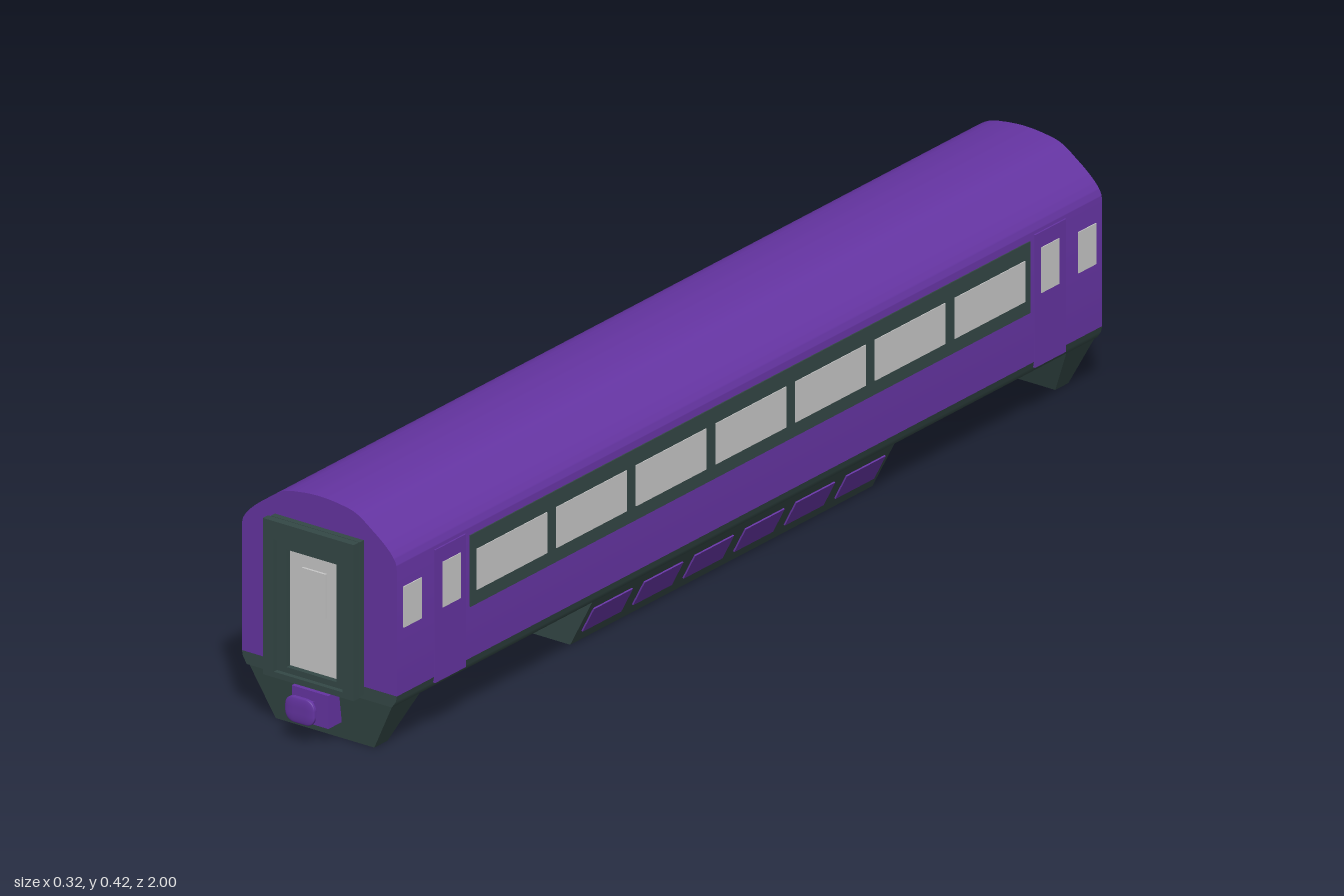
import * as THREE from 'three';
import { toCreasedNormals } from 'three/addons/utils/BufferGeometryUtils.js';
import { ConvexGeometry } from 'three/addons/geometries/ConvexGeometry.js';
import { RoundedBoxGeometry } from 'three/addons/geometries/RoundedBoxGeometry.js';

const mat = (name, color) => {
  const m = new THREE.MeshStandardMaterial({ color });
  m.name = name;
  return m;
};

export function createModel() {
  const purple = mat('purplePaint', 0x6534a2);
  const dark = mat('darkTrim', 0x344846);
  const glass = mat('paleGrey', 0xc8c8c8);
  const coach = new THREE.Group();
  coach.name = 'railCoach';

  const add = (parent, name, geo, material, x = 0, y = 0, z = 0) => {
    const m = new THREE.Mesh(geo, material);
    m.name = name;
    m.position.set(x, y, z);
    parent.add(m);
    return m;
  };
  const box = (parent, name, material, [w, h, d], [x, y, z]) =>
    add(parent, name, new THREE.BoxGeometry(w, h, d), material, x, y, z);
  // Prism along z, centred on z = 0
  const prism = (shape, length) => {
    const g = new THREE.ExtrudeGeometry(shape, { depth: length, bevelEnabled: false, curveSegments: 8 });
    return toCreasedNormals(g.translate(0, 0, -length / 2), 0.5);
  };
  const rect = (w, y0, y1, C = THREE.Shape) =>
    new C([[-w, y0], [w, y0], [w, y1], [-w, y1]].map(p => new THREE.Vector2(...p)));

  // Body shell with a curved roof
  const W = 0.157, L = 1.89;
  const half = [[0.155, 0.343], [0.147, 0.356], [0.132, 0.371], [0.11, 0.388], [0.075, 0.411], [0.04, 0.419]];
  const roof = [[W, 0.33], ...half, [0, 0.422], ...half.map(([x, y]) => [-x, y]).reverse(), [-W, 0.33]];
  const body = new THREE.Shape();
  body.moveTo(-W, 0.11);
  body.lineTo(W, 0.11);
  body.lineTo(W, 0.33);
  body.splineThru(roof.slice(1).map(p => new THREE.Vector2(...p)));
  add(coach, 'bodyShell', prism(body, L), purple);

  // Floor frame with rounded lower corners
  const sill = [[-W, 0.11], [-0.155, 0.1], [-0.147, 0.088], [0.147, 0.088], [0.155, 0.1], [W, 0.11]];
  add(coach, 'floorFrame', prism(new THREE.Shape(sill.map(p => new THREE.Vector2(...p))), L), dark);

  // Equipment box below the floor
  const tray = [[-0.1, 0], [0.1, 0], [0.146, 0.089], [-0.146, 0.089]];
  add(coach, 'underfloorBox', prism(new THREE.Shape(tray.map(p => new THREE.Vector2(...p))), 0.81), dark);

  // Both sides: window band, windows, doors and equipment panels
  for (const s of [-1, 1]) {
    const side = new THREE.Group();
    side.name = s > 0 ? 'leftSide' : 'rightSide';
    coach.add(side);
    const x = s * W;
    box(side, 'windowBand', dark, [0.004, 0.126, 1.5], [x, 0.264, 0]);
    for (let i = -3; i <= 3; i++)
      box(side, 'window', glass, [0.007, 0.072, 0.188], [x, 0.262, i * 0.2135]);
    for (const e of [-1, 1]) {
      box(side, 'sideDoor', purple, [0.005, 0.234, 0.083], [x, 0.217, e * 0.804]);
      box(side, 'doorWindow', glass, [0.008, 0.08, 0.048], [x, 0.267, e * 0.802]);
      box(side, 'endWindow', glass, [0.004, 0.072, 0.048], [x, 0.262, e * 0.904]);
    }
    for (let i = 0; i < 6; i++) {
      const p = box(side, 'equipmentPanel', purple, [0.006, 0.052, 0.104], [s * 0.1235, 0.046, (i - 2.5) * 0.1355]);
      p.rotation.z = -s * Math.atan2(0.046, 0.089);
    }
  }

  // Both ends: gangway, end door, valance and coupler
  for (const e of [1, -1]) {
    const end = new THREE.Group();
    end.name = e > 0 ? 'frontEnd' : 'backEnd';
    end.rotation.y = e > 0 ? 0 : Math.PI;
    coach.add(end);

    const frame = (name, w, y0, y1, hw, h0, h1, z0, z1) => {
      const s = rect(w, y0, y1);
      s.holes.push(rect(hw, h0, h1, THREE.Path));
      add(end, name, prism(s, z1 - z0), dark, 0, 0, (z0 + z1) / 2);
    };
    frame('gangwayBase', 0.09, 0.096, 0.368, 0.07, 0.105, 0.338, 0.944, 0.956);
    frame('gangwayNeck', 0.084, 0.1, 0.362, 0.07, 0.105, 0.338, 0.955, 0.962);
    frame('gangwayRim', 0.092, 0.095, 0.37, 0.07, 0.105, 0.338, 0.961, 0.975);
    frame('doorSurround', 0.071, 0.1, 0.339, 0.051, 0.115, 0.322, 0.944, 0.966);
    box(end, 'endDoor', glass, [0.104, 0.21, 0.012], [0, 0.2185, 0.95]);
    box(end, 'endDoorWindow', glass, [0.048, 0.078, 0.006], [0, 0.256, 0.957]);

    // Tapered valance under the floor
    const corners = [];
    for (const s of [-1, 1])
      for (const [x, y, z] of [[0.146, 0.09, 0.942], [0.146, 0.09, 0.865], [0.1, 0, 0.93], [0.1, 0, 0.895]])
        corners.push(new THREE.Vector3(s * x, y, z));
    add(end, 'valance', new ConvexGeometry(corners), dark);

    box(end, 'couplerBlock', purple, [0.074, 0.058, 0.04], [0, 0.059, 0.95]);
    box(end, 'couplerStem', purple, [0.018, 0.018, 0.03], [0, 0.062, 0.98]);
    const plate = add(end, 'couplerPlate', new RoundedBoxGeometry(0.06, 0.046, 0.06, 4, 0.018), purple, 0, 0.062, 0.995);
    plate.scale.z = 0.01 / 0.06;
  }
  return coach;
}
